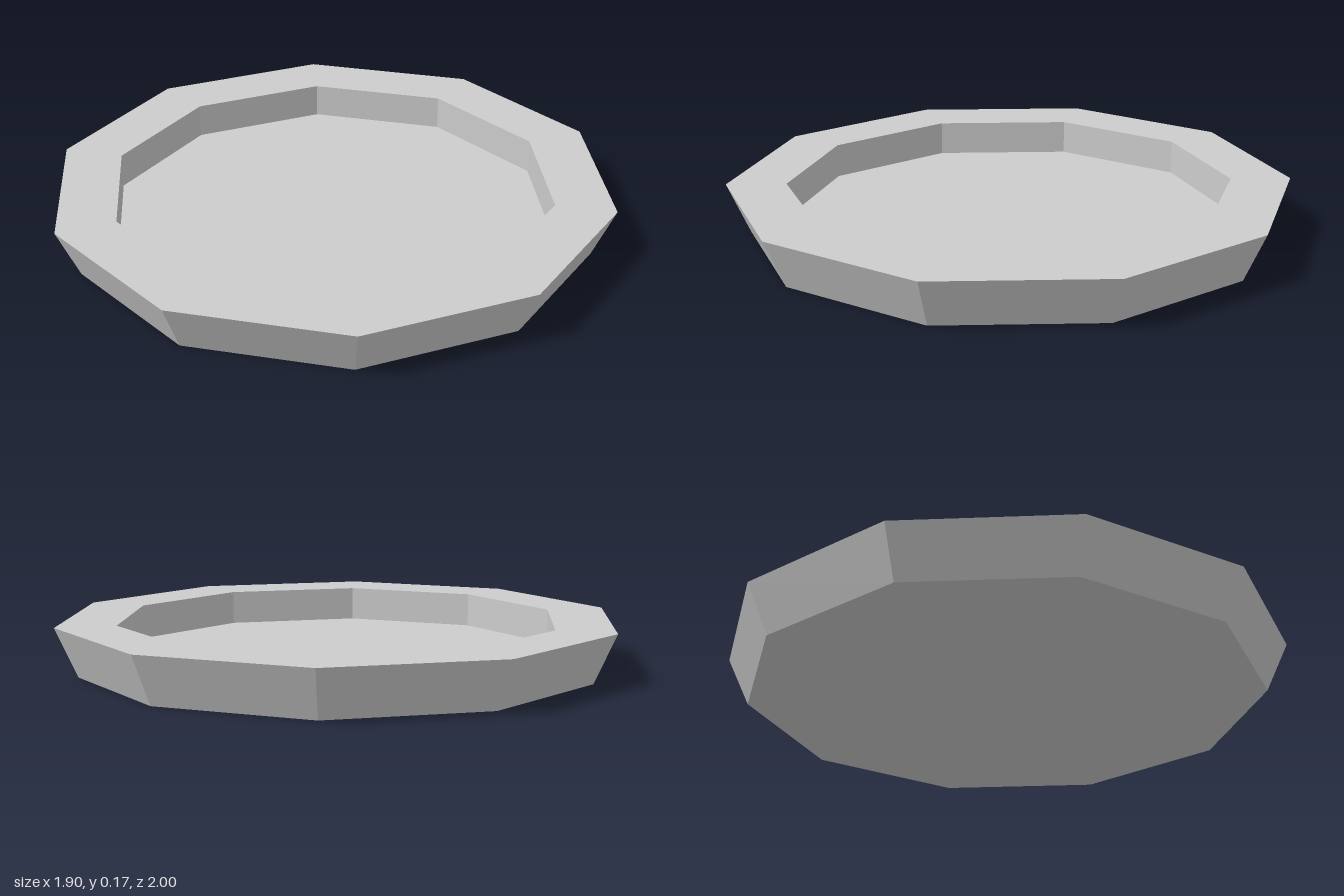
import * as THREE from 'three';

const SIDES = 10;

export function createModel() {
  const group = new THREE.Group();
  group.name = 'shallowTray';

  const grey = new THREE.MeshStandardMaterial({ color: 0xcccccc, flatShading: true });
  grey.name = 'light grey';

  // Turns a [radius, height] profile into a faceted ten-sided ring
  const addLathe = (name, profile) => {
    const points = profile.map(([r, y]) => new THREE.Vector2(r, y));
    const mesh = new THREE.Mesh(new THREE.LatheGeometry(points, SIDES), grey);
    mesh.name = name;
    group.add(mesh);
  };

  // Flat underside and flared outer wall
  addLathe('outerShell', [[0, 0], [0.921, 0], [1, 0.175]]);
  // Flat top rim
  addLathe('rim', [[1, 0.175], [0.787, 0.175]]);
  // Upright inner wall and recessed floor
  addLathe('recess', [[0.787, 0.175], [0.787, 0.052], [0, 0.052]]);

  return group;
}
